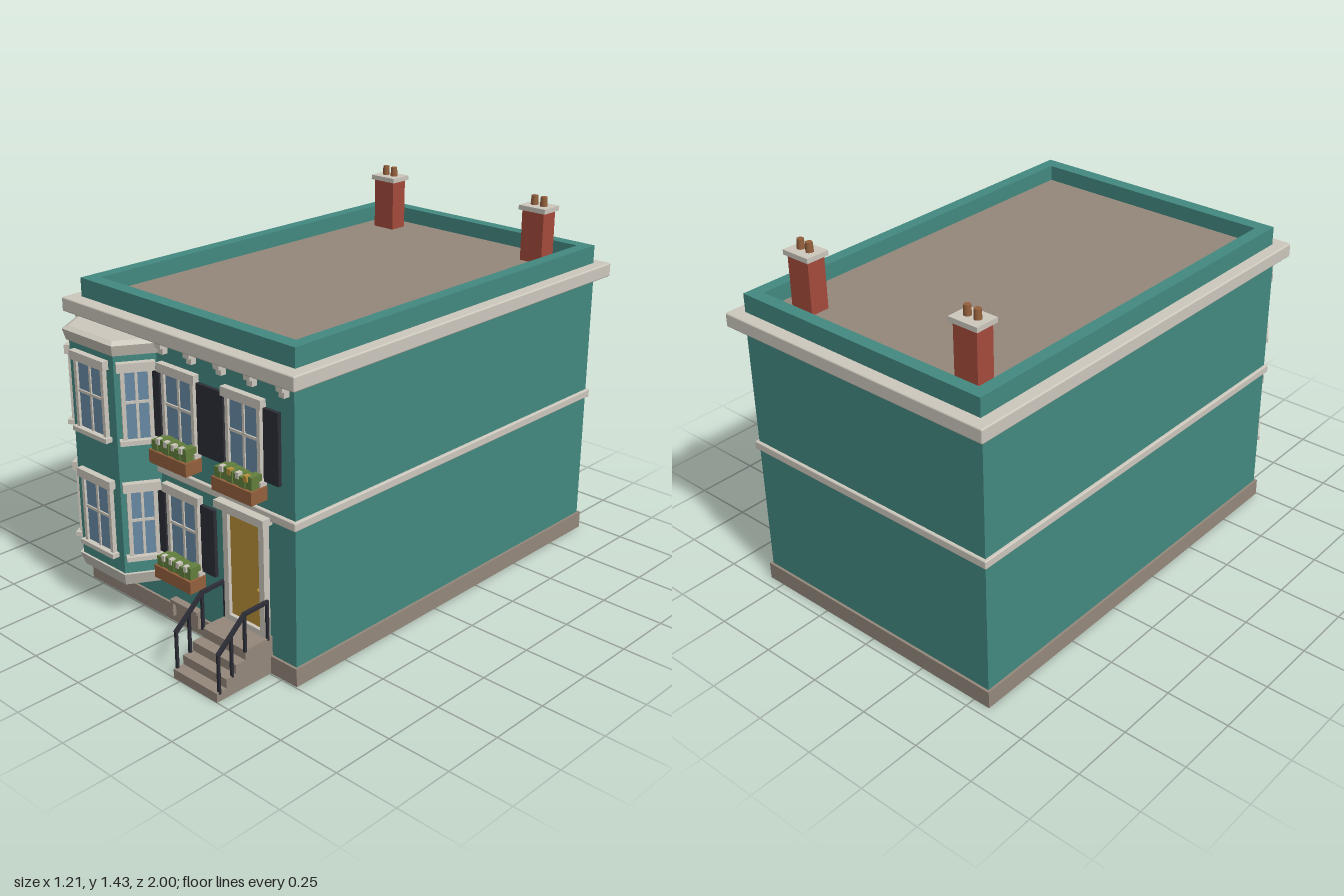
import * as THREE from 'three';
import { RoundedBoxGeometry } from 'three/addons/geometries/RoundedBoxGeometry.js';

const paint = (name, color) => {
  const m = new THREE.MeshStandardMaterial({ color });
  m.name = name;
  return m;
};

export function createModel() {
  const teal = paint('teal wall', 0x438980), stone = paint('stone', 0x94887b);
  const trim = paint('cream trim', 0xcdc8bd), brick = paint('brick', 0xa54b3b);
  const wood = paint('brown wood', 0x94603c), leaf = paint('leaf green', 0x627f3c);
  const gold = paint('golden yellow', 0xb8903a), dark = paint('charcoal', 0x2d2e37);
  const glass = paint('window glass', 0x688ba5);

  const house = new THREE.Group();
  house.name = 'townhouse';
  const group = (name, parent = house) => {
    const g = new THREE.Group();
    g.name = name;
    parent.add(g);
    return g;
  };
  const add = (name, geo, mat, parent = house) => {
    const m = new THREE.Mesh(geo, mat);
    m.name = name;
    parent.add(m);
    return m;
  };
  // Box given by its limits on each axis
  const box = (name, mat, x0, x1, y0, y1, z0, z1, parent = house, r = 0) => {
    const s = [x1 - x0, y1 - y0, z1 - z0];
    const geo = r ? new RoundedBoxGeometry(...s, 2, r) : new THREE.BoxGeometry(...s);
    geo.translate((x0 + x1) / 2, (y0 + y1) / 2, (z0 + z1) / 2);
    return add(name, geo, mat, parent);
  };
  // Square-section bar between two points
  const bar = (name, mat, a, b, t, parent) => {
    const p = new THREE.Vector3(...a), q = new THREE.Vector3(...b);
    const m = add(name, new THREE.BoxGeometry(t, t, p.distanceTo(q) + t * 0.6), mat, parent);
    m.position.copy(p).lerp(q, 0.5);
    m.lookAt(q);
  };

  // Main block, bands and roof
  box('plinth', stone, -0.57, 0.57, 0, 0.07, -0.96, 0.745);
  box('walls', teal, -0.56, 0.56, 0.03, 1.12, -0.95, 0.735);
  box('stringCourse', trim, -0.572, 0.572, 0.597, 0.63, -0.962, 0.748, house, 0.005);
  box('cornice', trim, -0.605, 0.605, 1.11, 1.165, -1, 0.78, house, 0.006);
  box('roof', stone, -0.52, 0.52, 1.15, 1.175, -0.92, 0.69);
  for (const s of [-1, 1]) {
    const [a, b] = s > 0 ? [0.505, 0.555] : [-0.555, -0.505];
    box('sideParapet', teal, a, b, 1.15, 1.237, -0.95, 0.725);
  }
  box('backParapet', teal, -0.505, 0.505, 1.15, 1.237, -0.95, -0.9);
  box('frontParapet', teal, -0.505, 0.505, 1.15, 1.237, 0.67, 0.725);

  // Brackets under the cornice
  for (let i = 0; i < 8; i++) {
    const x = -0.525 + i * 0.15;
    box('bracket', trim, x - 0.013, x + 0.013, 1.067, 1.112, 0.73, 0.758);
    box('bracketHead', trim, x - 0.015, x + 0.015, 1.09, 1.112, 0.73, 0.77);
  }

  // Chimneys
  for (const x of [-0.388, 0.388]) {
    const c = group('chimney');
    box('stack', brick, x - 0.051, x + 0.051, 1.16, 1.38, -0.833, -0.757, c);
    box('cap', trim, x - 0.062, x + 0.062, 1.379, 1.398, -0.843, -0.747, c);
    for (const dx of [-0.022, 0.022]) {
      const pot = add('pot', new THREE.CylinderGeometry(0.013, 0.015, 0.04, 12), wood, c);
      pot.position.set(x + dx, 1.415, -0.795);
    }
  }

  // Bay: angled plan extruded upward, with separate bottom and top scale
  const bay = group('bay');
  const bayBlock = (name, mat, y0, y1, s0, s1) => {
    const plan = new THREE.Shape([[-0.205, 0.03], [-0.205, 0], [-0.125, -0.13],
      [0.125, -0.13], [0.205, 0], [0.205, 0.03]].map(p => new THREE.Vector2(...p)));
    const geo = new THREE.ExtrudeGeometry(plan, { depth: y1 - y0, bevelEnabled: false });
    geo.rotateX(-Math.PI / 2);
    const p = geo.attributes.position;
    for (let i = 0; i < p.count; i++) {
      const s = p.getY(i) < (y1 - y0) / 2 ? s0 : s1;
      p.setX(i, p.getX(i) * s);
      p.setZ(i, p.getZ(i) * s);
    }
    geo.computeVertexNormals();
    add(name, geo, mat, bay).position.set(-0.33, y0, 0.735);
  };
  bayBlock('bayWall', teal, 0.17, 1.07, 1, 1);
  bayBlock('baySkirt', trim, 0.15, 0.2, 0.97, 1.07);
  bayBlock('bayCornice', trim, 1.057, 1.098, 1.06, 1.13);
  bayBlock('bayRoof', trim, 1.098, 1.11, 1.13, 1.0);

  // Window facing +z with its wall at z = 0; y0 is the bottom of the glass
  const windowUnit = (x, y0, z, ry, w) => {
    const g = group('window');
    g.position.set(x, y0, z);
    g.rotation.y = ry;
    const h = w / 2, f = 0.015, H = 0.26;
    box('pane', glass, -h + f, h - f, 0, H, 0, 0.008, g);
    for (const s of [-1, 1]) {
      const e = s * (h - f / 2);
      box('jamb', trim, e - f / 2, e + f / 2, 0, H, 0, 0.018, g);
    }
    box('lintel', trim, -h - 0.013, h + 0.013, H, H + 0.034, 0, 0.026, g);
    box('sill', trim, -h - 0.013, h + 0.013, -0.016, 0.002, 0, 0.03, g);
    box('upright', trim, -0.005, 0.005, 0, H, 0, 0.013, g);
    box('crossbar', trim, -h + f, h - f, H * 0.55 - 0.005, H * 0.55 + 0.005, 0, 0.014, g);
    return g;
  };
  const slant = Math.atan2(0.13, 0.08);
  for (const y of [0.275, 0.737]) {
    windowUnit(-0.33, y, 0.865, 0, 0.168);
    windowUnit(-0.165, y, 0.8, slant, 0.112);
    windowUnit(-0.495, y, 0.8, -slant, 0.112);
  }

  // Flat-wall windows with shutters and planted boxes
  const planted = (x, y, bloom) => {
    windowUnit(x, y, 0.735, 0, 0.17);
    for (const s of [-1, 1]) {
      const c = x + s * 0.133;
      box('shutter', dark, c - 0.035, c + 0.035, y + 0.003, y + 0.266, 0.73, 0.75);
    }
    const g = group('flowerBox');
    box('trough', wood, x - 0.099, x + 0.099, y - 0.07, y - 0.02, 0.735, 0.81, g);
    for (let i = 0; i < 6; i++) {
      const a = x - 0.09 + i * 0.03;
      box('foliage', leaf, a, a + 0.03, y - 0.03, y + 0.018 + 0.006 * ((i * 3) % 4 / 2), 0.75, 0.803 - 0.004 * (i % 2), g);
    }
    for (let i = 0; i < 4; i++) {
      const a = x - 0.055 + i * 0.04;
      box('flower', i % 2 ? bloom : trim, a - 0.008, a + 0.008, y + 0.008, y + 0.03, 0.785, 0.806, g);
    }
  };
  planted(0, 0.275, trim);
  planted(0, 0.737, trim);
  planted(0.33, 0.737, gold);

  // Front door
  const door = group('frontDoor');
  box('doorPanel', gold, 0.252, 0.408, 0.165, 0.565, 0.735, 0.748, door);
  box('leftJamb', trim, 0.408, 0.433, 0.145, 0.59, 0.73, 0.762, door);
  box('rightJamb', trim, 0.228, 0.252, 0.145, 0.59, 0.73, 0.762, door);
  box('head', trim, 0.252, 0.408, 0.565, 0.59, 0.73, 0.762, door);
  box('threshold', trim, 0.252, 0.408, 0.145, 0.167, 0.73, 0.762, door);
  box('hood', trim, 0.206, 0.452, 0.583, 0.611, 0.73, 0.783, door);
  const knob = add('knob', new THREE.SphereGeometry(0.007, 12, 8), gold, door);
  knob.position.set(0.395, 0.315, 0.753);

  // Steps and handrails
  const stoop = group('stoop');
  [[0.145, 0.735, 0.865], [0.108, 0.865, 0.91], [0.072, 0.91, 0.955], [0.036, 0.955, 1]]
    .forEach(([y, z0, z1]) => box('step', stone, 0.218, 0.442, 0, y, z0, z1, stoop));
  for (const x of [0.222, 0.438]) {
    const rail = group('handrail', stoop);
    const top = [[0.985, 0.18, 0.03], [0.925, 0.23, 0.07], [0.862, 0.285, 0.14], [0.755, 0.288, 0.14]];
    top.forEach(([z, y, base], i) => {
      bar('post', dark, [x, base, z], [x, y, z], 0.01, rail);
      if (i) bar('rail', dark, [x, top[i - 1][1], top[i - 1][0]], [x, y, z], 0.013, rail);
    });
  }

  // Basement vent
  const vent = group('basementVent');
  box('opening', dark, -0.065, 0.065, 0.072, 0.093, 0.735, 0.748, vent);
  box('ventHead', stone, -0.075, 0.075, 0.09, 0.102, 0.735, 0.765, vent);
  for (const x of [-0.07, 0.07]) box('ventSide', stone, x - 0.005, x + 0.005, 0.03, 0.092, 0.735, 0.76, vent);
  for (const y of [0.077, 0.085]) box('slat', stone, -0.055, 0.055, y - 0.0015, y + 0.0015, 0.74, 0.752, vent);

  return house;
}
